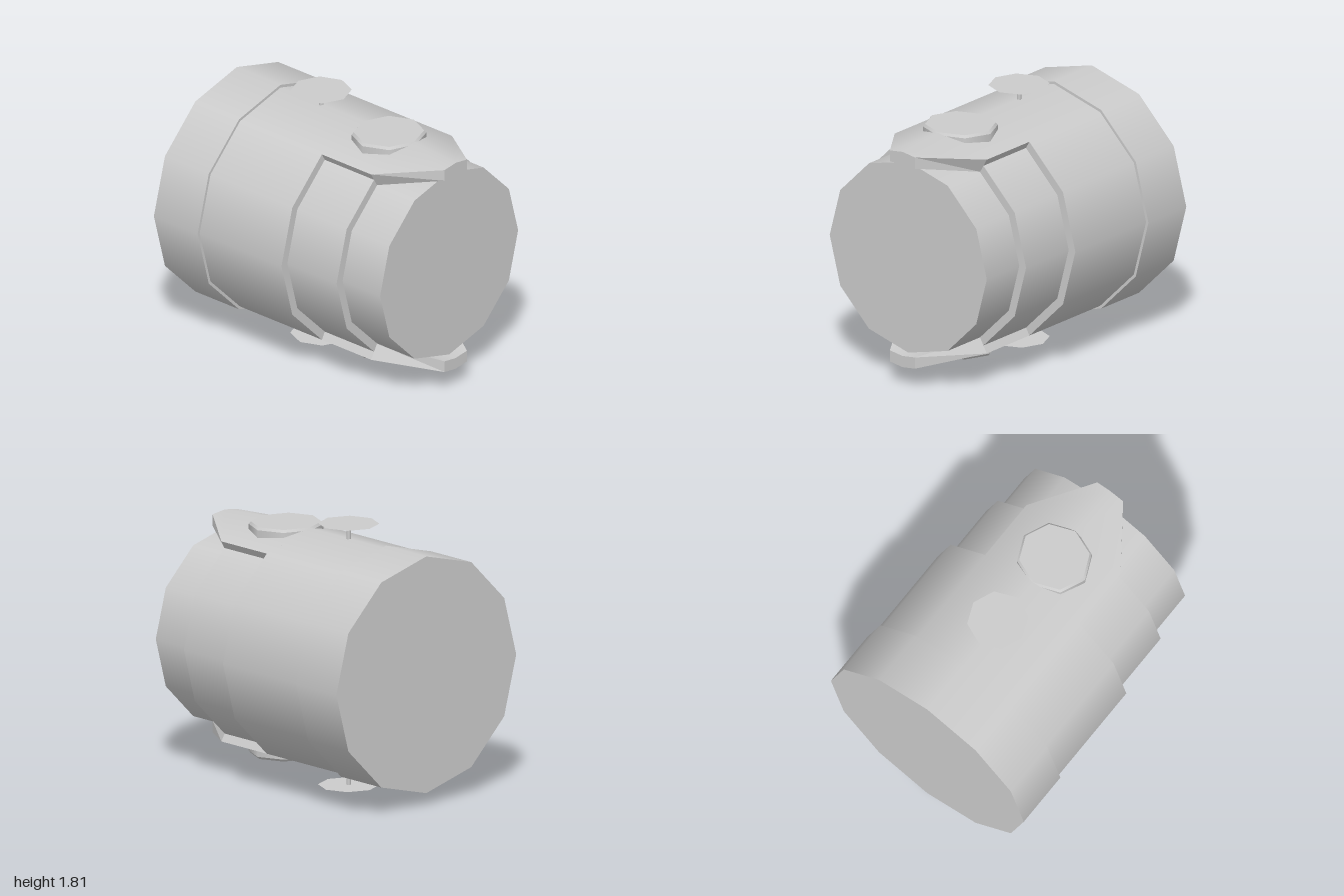
import * as THREE from 'three';

const CY = 0.905; // height of the barrel axis
const mat = new THREE.MeshStandardMaterial({ color: 0xcccccc });
const thin = new THREE.MeshStandardMaterial({ color: 0xcccccc, side: THREE.DoubleSide });

function add(parent, name, geometry, material = mat) {
  const mesh = new THREE.Mesh(geometry, material);
  mesh.name = name;
  parent.add(mesh);
  return mesh;
}

// Twelve-sided drum lying along x, with a corner at the top
function drum(parent, name, x0, x1, radius) {
  const geo = new THREE.CylinderGeometry(radius, radius, x1 - x0, 12);
  geo.rotateZ(-Math.PI / 2).translate((x0 + x1) / 2, 0, 0);
  add(parent, name, geo);
}

// Six-point section of the hood: outer edge, ridge, outer edge, then back along the inside
function section(x, zOut, yOut, ridge, zIn, yIn, inner) {
  return [[-zOut, yOut], [0, ridge], [zOut, yOut], [zIn, yIn], [0, inner], [-zIn, yIn]]
    .map(([z, y]) => new THREE.Vector3(x, y, z));
}

function hoodGeometry() {
  const rings = [
    section(0.147, 0.4, 0.693, 0.8, 0.3425, 0.593, 0.685),
    section(0.597, 0.4, 0.693, 0.8, 0.3425, 0.593, 0.685),
    section(1.0, 0.11, 0.755, 0.77, 0.11, 0.675, 0.69),
  ];
  const pos = [], radial = [];
  const quad = (a, b, c, d, sign) => [a, b, c, a, c, d].forEach((p) => {
    pos.push(p.x, p.y, p.z);
    radial.push(sign);
  });
  for (let r = 0; r < 2; r++) {
    for (let i = 0; i < 6; i++) {
      const j = (i + 1) % 6;
      const sign = i < 2 ? 1 : i === 3 || i === 4 ? -1 : 0;
      quad(rings[r][i], rings[r][j], rings[r + 1][j], rings[r + 1][i], sign);
    }
  }
  const t = rings[2];
  quad(t[0], t[1], t[4], t[5], 0);
  quad(t[1], t[2], t[3], t[4], 0);
  const geo = new THREE.BufferGeometry();
  geo.setAttribute('position', new THREE.Float32BufferAttribute(pos, 3));
  geo.computeVertexNormals();
  // Curved faces shade smoothly around the barrel axis; edges stay flat
  const n = geo.attributes.normal;
  radial.forEach((s, i) => {
    if (!s) return;
    const v = new THREE.Vector3(0, pos[3 * i + 1], pos[3 * i + 2]).normalize().multiplyScalar(s);
    n.setXYZ(i, v.x, v.y, v.z);
  });
  return geo;
}

// Hood, round cap and disc on a stalk, all pointing up
function hoodAssembly(name) {
  const g = new THREE.Group();
  g.name = name;
  add(g, 'hood', hoodGeometry());

  const cap = new THREE.Group();
  cap.name = 'cap';
  cap.position.x = 0.39;
  cap.scale.x = 0.94;
  add(cap, 'capWall', new THREE.CylinderGeometry(0.26, 0.26, 0.1, 8, 1, true)).position.y = 0.735;
  add(cap, 'capBevel', new THREE.CylinderGeometry(0.245, 0.26, 0.017, 8, 1, true)).position.y = 0.7935;
  add(cap, 'capTop', new THREE.CircleGeometry(0.245, 8).rotateX(-Math.PI / 2)).position.y = 0.802;
  g.add(cap);

  add(g, 'stalk', new THREE.CylinderGeometry(0.015, 0.015, 0.125, 8)).position.set(-0.23, 0.842, 0);
  add(g, 'disc', new THREE.CircleGeometry(0.207, 8).rotateX(-Math.PI / 2), thin).position.set(-0.23, 0.905, 0);
  return g;
}

export function createModel() {
  const model = new THREE.Group();
  model.name = 'barrelModule';
  const body = new THREE.Group();
  body.name = 'body';
  body.position.y = CY;
  model.add(body);

  // Stepped barrel
  drum(body, 'rearBand', -1, -0.6, 0.82);
  drum(body, 'mainBarrel', -0.6, 0.147, 0.8);
  drum(body, 'middleStep', 0.147, 0.597, 0.742);
  drum(body, 'endStep', 0.597, 0.94, 0.683);

  // Matching hoods above and below
  body.add(hoodAssembly('upperAssembly'));
  const lower = hoodAssembly('lowerAssembly');
  lower.rotation.x = Math.PI;
  body.add(lower);
  return model;
}
